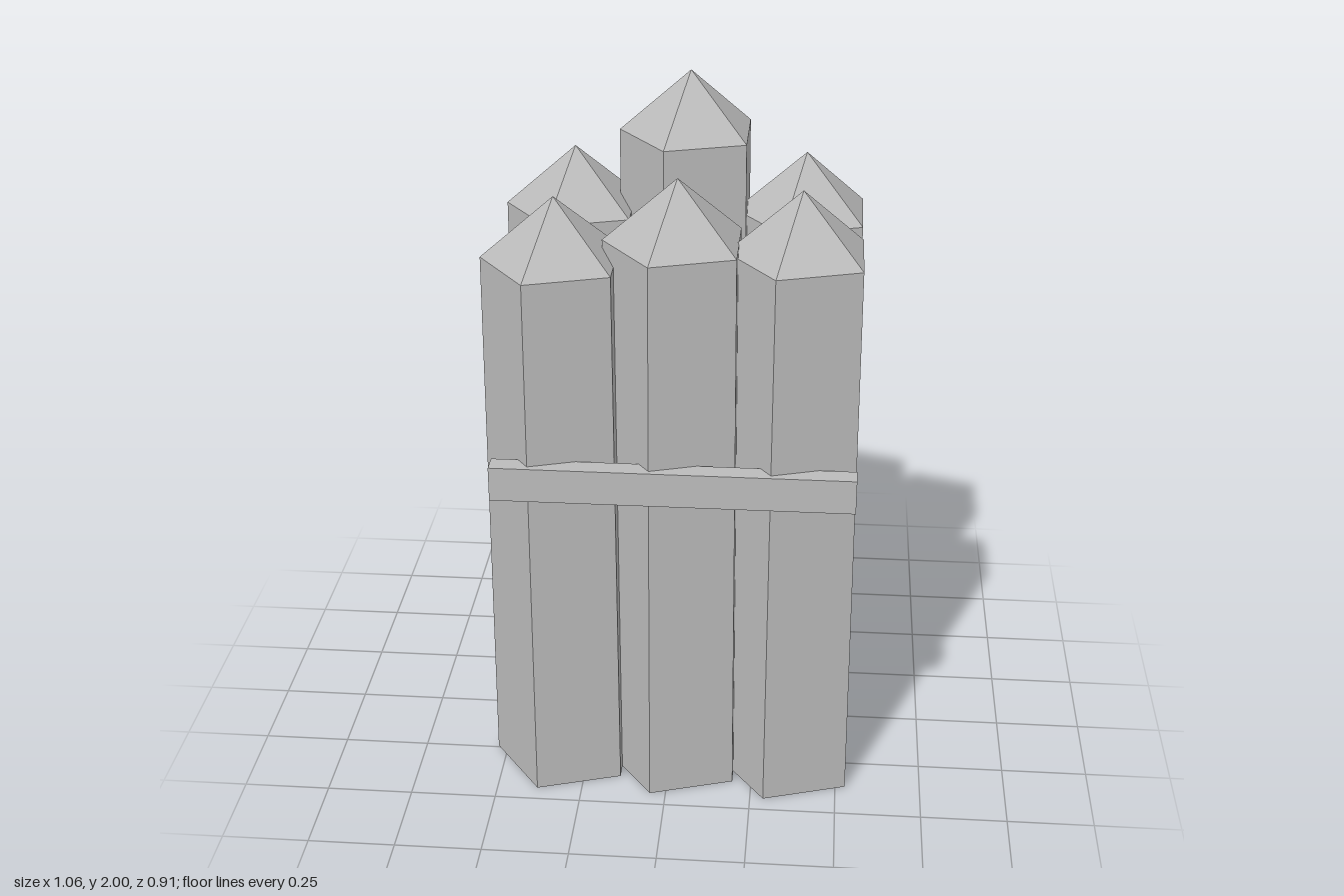
import * as THREE from 'three';

const SPACING = 0.335, MID_X = 0.02, ROW_Z = 0.243, TIP = 0.18;
const R_BOTTOM = 0.215, R_TOP = 0.205;

export function createModel() {
  const wood = new THREE.MeshStandardMaterial({ color: 0xbbbbbb, flatShading: true });
  wood.name = 'plain grey';
  const group = new THREE.Group();
  group.name = 'palisadeWall';

  const add = (parent, name, geometry, x, y, z) => {
    const mesh = new THREE.Mesh(geometry, wood);
    mesh.name = name;
    mesh.position.set(x, y, z);
    parent.add(mesh);
  };

  // Five-sided tapered stake with a pointed tip, one corner facing -x
  const start = Math.PI * 1.5;
  const addStake = (name, x, z, height) => {
    const stake = new THREE.Group();
    stake.name = name;
    stake.position.set(x, 0, z);
    const shaft = height - TIP;
    add(stake, 'shaft', new THREE.CylinderGeometry(R_TOP, R_BOTTOM, shaft, 5, 1, false, start), 0, shaft / 2, 0);
    add(stake, 'tip', new THREE.ConeGeometry(R_TOP, TIP, 5, 1, true, start), 0, shaft + TIP / 2, 0);
    group.add(stake);
  };

  // Two rows of stakes, each tied by a rail on its outer side
  const rows = [
    { name: 'front', side: 1, heights: [1.785, 1.845, 1.82] },
    { name: 'back', side: -1, heights: [1.768, 2.0, 1.765] },
  ];
  for (const { name, side, heights } of rows) {
    heights.forEach((h, i) => addStake(`${name}Stake${i + 1}`, MID_X + (i - 1) * SPACING, side * ROW_Z, h));
    add(group, `${name}Rail`, new THREE.BoxGeometry(1.01, 0.1, 0.058), MID_X, 1.02, side * 0.428);
  }
  return group;
}
